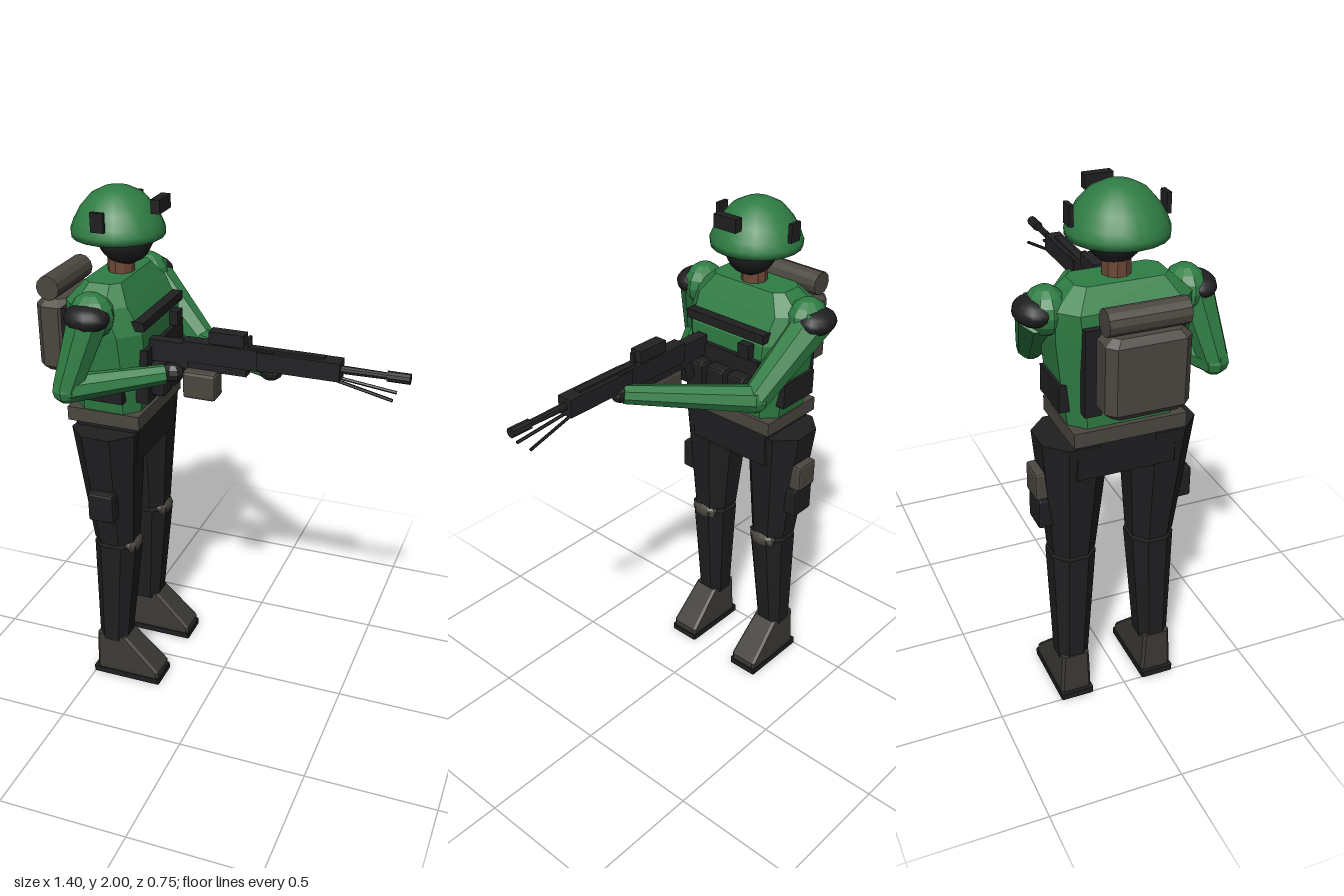
import * as THREE from 'three';
import { RoundedBoxGeometry } from 'three/addons/geometries/RoundedBoxGeometry.js';

const mat = (color, flatShading = true) => new THREE.MeshStandardMaterial({ color, flatShading });
const green = mat(0x2f7d44), greenSmooth = mat(0x2f7d44, false);
const black = mat(0x1f1f21), blackSmooth = mat(0x1f1f21, false), gunmetal = mat(0x222225);
const gear = mat(0x4b4740), boot = mat(0x3c3935), skin = mat(0x6e4838);
const V = (x, y, z) => new THREE.Vector3(x, y, z);

function add(parent, name, geometry, material, x = 0, y = 0, z = 0) {
  const m = new THREE.Mesh(geometry, material);
  m.name = name;
  m.position.set(x, y, z);
  parent.add(m);
  return m;
}

// Box given by its limits; a bevel gives it chamfered edges
function box(parent, name, material, x0, x1, y0, y1, z0, z1, bevel = 0) {
  const s = [x1 - x0, y1 - y0, z1 - z0];
  const g = bevel ? new RoundedBoxGeometry(...s, 1, bevel) : new THREE.BoxGeometry(...s);
  return add(parent, name, g, material, (x0 + x1) / 2, (y0 + y1) / 2, (z0 + z1) / 2);
}

// Ellipsoid with its centre and radii
function ball(parent, name, material, c, r, ws = 14, hs = 10) {
  const m = add(parent, name, new THREE.SphereGeometry(1, ws, hs), material, ...c);
  m.scale.set(...r);
  return m;
}

// Tapered rod between two points
function limb(parent, name, material, a, ra, b, rb, sides = 8) {
  const d = b.clone().sub(a);
  const m = add(parent, name, new THREE.CylinderGeometry(rb, ra, d.length(), sides), material);
  m.position.copy(a).addScaledVector(d, 0.5);
  m.quaternion.setFromUnitVectors(V(0, 1, 0), d.normalize());
  return m;
}

// Closed loft of chamfered rectangles, bottom to top: [y, x0, x1, z0, z1, chamfer]
function loft(rings) {
  const pos = [], idx = [];
  for (const [y, x0, x1, z0, z1, c] of rings) {
    pos.push(x1, y, z0 + c, x1 - c, y, z0, x0 + c, y, z0, x0, y, z0 + c,
      x0, y, z1 - c, x0 + c, y, z1, x1 - c, y, z1, x1, y, z1 - c);
  }
  for (let r = 0; r < rings.length - 1; r++) {
    for (let i = 0; i < 8; i++) {
      const a = r * 8 + i, b = r * 8 + (i + 1) % 8;
      idx.push(a, b, b + 8, a, b + 8, a + 8);
    }
  }
  const t = (rings.length - 1) * 8;
  for (let i = 1; i < 7; i++) idx.push(0, i + 1, i, t, t + i, t + i + 1);
  const g = new THREE.BufferGeometry();
  g.setAttribute('position', new THREE.Float32BufferAttribute(pos, 3));
  g.setIndex(idx);
  g.computeVertexNormals();
  return g;
}

function buildHead(body) {
  const head = new THREE.Group();
  head.name = 'head';
  body.add(head);
  limb(head, 'neck', skin, V(-0.41, 1.66, 0), 0.05, V(-0.41, 1.78, 0), 0.05, 10);
  ball(head, 'maskedFace', blackSmooth, [-0.39, 1.825, 0], [0.107, 0.107, 0.098]);
  const profile = [[0.001, 1.835], [0.145, 1.83], [0.17, 1.825], [0.172, 1.85], [0.16, 1.88], [0.135, 1.925],
    [0.095, 1.97], [0.05, 1.993], [0.001, 2]].map(p => new THREE.Vector2(...p));
  add(head, 'helmet', new THREE.LatheGeometry(profile, 20), greenSmooth, -0.415);
  box(head, 'helmetFrontMount', black, -0.265, -0.23, 1.925, 1.975, -0.05, 0.05);
  for (const s of [-1, 1]) {
    const z = s * 0.167;
    box(head, 'helmetSideMount', black, -0.44, -0.39, 1.875, 1.945, z - 0.008, z + 0.008);
  }
}

function buildTorso(body) {
  add(body, 'torso', loft([
    [1.2, -0.54, -0.285, -0.2, 0.2, 0.05],
    [1.38, -0.55, -0.258, -0.225, 0.225, 0.065],
    [1.52, -0.555, -0.258, -0.24, 0.24, 0.07],
    [1.62, -0.55, -0.31, -0.24, 0.24, 0.06],
    [1.69, -0.49, -0.35, -0.165, 0.165, 0.03]]), green);
  box(body, 'belt', gear, -0.56, -0.27, 1.15, 1.205, -0.205, 0.205);
  add(body, 'pelvis', loft([[1.0, -0.53, -0.29, -0.19, 0.19, 0.01],
    [1.15, -0.54, -0.285, -0.19, 0.19, 0.01]]), black);
  // Chest rig
  box(body, 'chestPanel', black, -0.29, -0.24, 1.25, 1.46, -0.165, 0.175);
  box(body, 'chestStrap', black, -0.3, -0.245, 1.535, 1.57, -0.18, 0.185);
  box(body, 'radioPouch', black, -0.27, -0.225, 1.465, 1.52, -0.13, -0.08);
  for (const z of [-0.1, 0, 0.1]) {
    box(body, 'magazinePouch', black, -0.25, -0.19, 1.27, 1.4, z - 0.042, z + 0.042, 0.012);
  }
  for (const s of [-1, 1]) {
    const z = s * 0.212, b = s * 0.145;
    box(body, 'sidePanel', black, -0.5, -0.32, 1.26, 1.36, z - 0.022, z + 0.022);
    box(body, 'backStrap', black, -0.578, -0.54, 1.27, 1.58, b - 0.03, b + 0.03);
  }
  // Backpack and bedroll
  box(body, 'backPanel', black, -0.59, -0.54, 1.33, 1.57, -0.11, 0.11);
  add(body, 'backpack', loft([
    [1.305, -0.685, -0.595, -0.12, 0.12, 0.02],
    [1.33, -0.705, -0.575, -0.148, 0.148, 0.03],
    [1.565, -0.705, -0.575, -0.148, 0.148, 0.03],
    [1.59, -0.685, -0.595, -0.12, 0.12, 0.02]]), gear);
  limb(body, 'bedroll', gear, V(-0.645, 1.635, -0.14), 0.046, V(-0.645, 1.635, 0.14), 0.046, 12);
}

function buildLeg(body, s) {
  const leg = new THREE.Group();
  leg.name = s > 0 ? 'rightLeg' : 'leftLeg';
  body.add(leg);
  const ring = (y, x0, x1, zc, h, c) => [y, x0, x1, s * zc - h, s * zc + h, c];
  add(leg, 'thigh', loft([ring(0.645, -0.484, -0.32, 0.155, 0.08, 0.045),
    ring(1.13, -0.54, -0.287, 0.16, 0.125, 0.07)]), black);
  add(leg, 'shin', loft([ring(0.17, -0.484, -0.362, 0.165, 0.058, 0.03),
    ring(0.63, -0.484, -0.31, 0.155, 0.082, 0.045)]), black);
  ball(leg, 'kneePad', gear, [-0.335, 0.625, s * 0.155], [0.03, 0.037, 0.062], 10, 8);
  add(leg, 'boot', loft([ring(0.025, -0.49, -0.22, 0.167, 0.06, 0.01),
    ring(0.05, -0.49, -0.22, 0.167, 0.06, 0.01),
    ring(0.19, -0.488, -0.36, 0.167, 0.053, 0.01)]), boot);
  add(leg, 'sole', loft([ring(0, -0.505, -0.215, 0.167, 0.064, 0.005),
    ring(0.025, -0.505, -0.215, 0.167, 0.064, 0.005)]), black);
  const z = s * 0.265;
  box(leg, 'thighPouch', black, -0.455, -0.35, 0.78, 0.9, z - 0.03, z + 0.03, 0.01);
  if (s < 0) box(leg, 'hipPouch', gear, -0.455, -0.355, 0.9, 1.01, z - 0.04, z + 0.03, 0.01);
}

function buildArm(model, name, shoulder, elbow, wrist, hand) {
  const arm = new THREE.Group();
  arm.name = name;
  model.add(arm);
  const s = Math.sign(shoulder.z);
  ball(arm, 'shoulder', green, [-0.415, 1.6, shoulder.z - s * 0.025], [0.085, 0.085, 0.075], 10, 8);
  ball(arm, 'shoulderPad', blackSmooth, [-0.415, 1.605, shoulder.z + s * 0.015], [0.085, 0.05, 0.07]);
  limb(arm, 'upperArm', green, shoulder, 0.076, elbow, 0.053);
  ball(arm, 'elbow', green, elbow.toArray(), [0.054, 0.054, 0.054], 8, 6);
  limb(arm, 'forearm', green, elbow, 0.053, wrist, 0.036);
  ball(arm, 'hand', black, hand.toArray(), [0.045, 0.036, 0.034], 8, 6);
}

function buildRifle(model) {
  const gun = new THREE.Group();
  gun.name = 'rifle';
  gun.position.z = 0.082;
  model.add(gun);
  const part = (name, x0, x1, y0, y1, w, m = gunmetal) => box(gun, name, m, x0, x1, y0, y1, -w, w);
  part('stock', -0.25, -0.1, 1.41, 1.49, 0.022);
  part('receiver', -0.12, 0.22, 1.425, 1.502, 0.026);
  part('lowerReceiver', -0.14, 0.12, 1.395, 1.43, 0.02);
  part('handguard', 0.16, 0.46, 1.432, 1.5, 0.031);
  part('topRail', 0.12, 0.4, 1.5, 1.508, 0.014);
  part('optic', -0.02, 0.11, 1.505, 1.55, 0.024);
  part('rearSight', 0.122, 0.132, 1.5, 1.545, 0.008);
  part('pistolGrip', -0.175, -0.135, 1.33, 1.42, 0.018).rotation.z = -0.25;
  box(gun, 'ammoBox', gear, -0.11, 0.015, 1.295, 1.4, -0.027, 0.06, 0.012);
  limb(gun, 'barrel', gunmetal, V(0.44, 1.468, 0), 0.015, V(0.64, 1.468, 0), 0.012, 10);
  limb(gun, 'muzzle', gunmetal, V(0.62, 1.468, 0), 0.019, V(0.7, 1.468, 0), 0.019, 10);
  for (const s of [-1, 1]) {
    limb(gun, 'bipodLeg', gunmetal, V(0.42, 1.435, s * 0.01), 0.006, V(0.65, 1.395, s * 0.034), 0.006, 6);
  }
}

export function createModel() {
  const model = new THREE.Group();
  model.name = 'soldier';
  const body = new THREE.Group();
  body.name = 'body';
  body.position.z = -0.028;
  model.add(body);
  buildHead(body);
  buildTorso(body);
  for (const s of [-1, 1]) buildLeg(body, s);
  buildArm(model, 'rightArm', V(-0.415, 1.6, 0.245), V(-0.485, 1.345, 0.31), V(-0.18, 1.372, 0.125), V(-0.16, 1.375, 0.108));
  buildArm(model, 'leftArm', V(-0.415, 1.6, -0.3), V(-0.17, 1.36, -0.24), V(0.2, 1.418, 0.06), V(0.2, 1.42, 0.07));
  buildRifle(model);
  return model;
}
